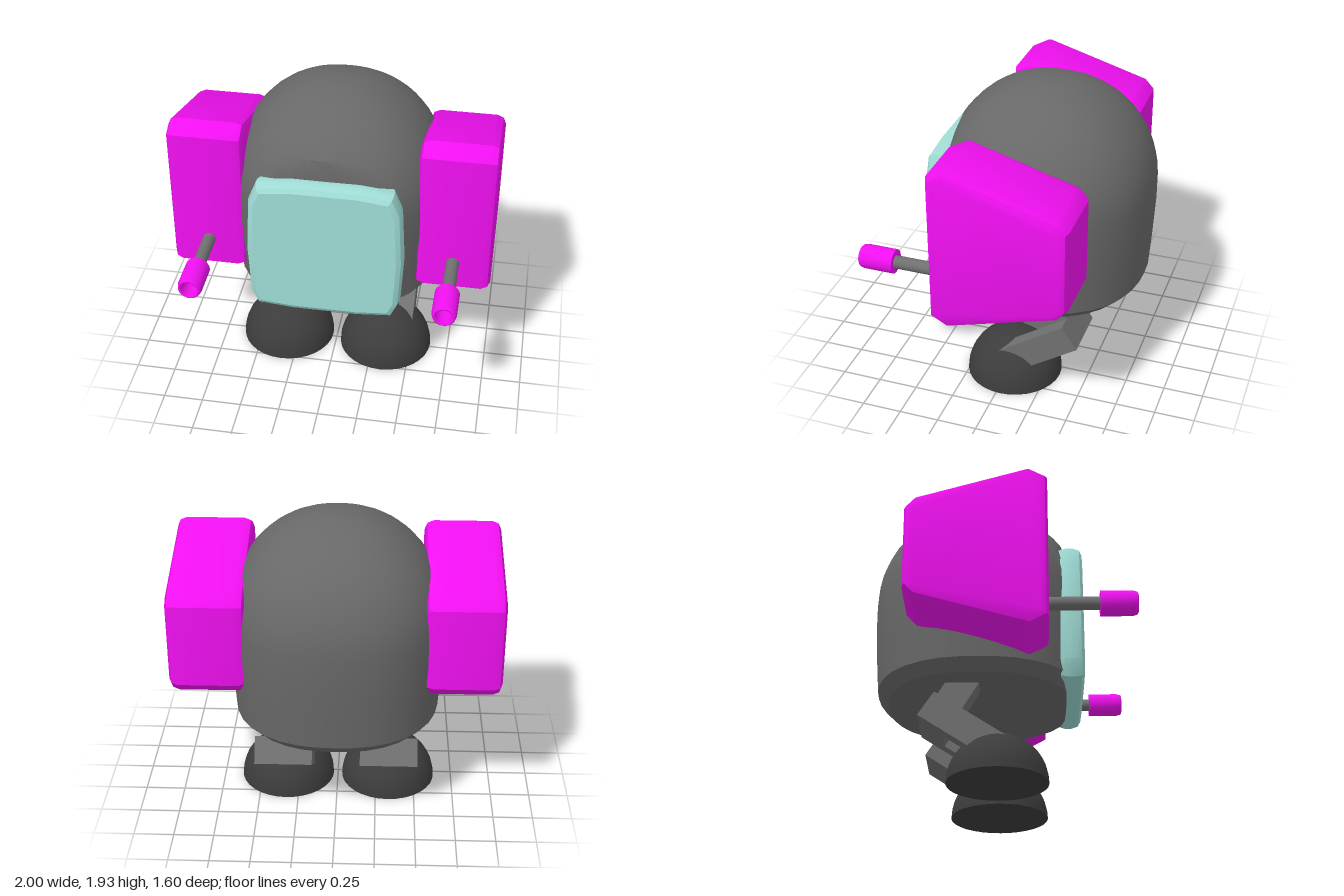
import * as THREE from 'three';
import { toCreasedNormals } from 'three/addons/utils/BufferGeometryUtils.js';

const mat = (color) => new THREE.MeshStandardMaterial({ color });
const shellGrey = mat(0x686868), legGrey = mat(0x707070), footGrey = mat(0x3c3c3c);
const magenta = mat(0xf010f0), teal = mat(0x9fdcd5);

const v2 = (list) => list.map(([x, y]) => new THREE.Vector2(x, y));

function add(parent, name, geometry, material, x = 0, y = 0, z = 0) {
  const mesh = new THREE.Mesh(geometry, material);
  mesh.name = name;
  mesh.position.set(x, y, z);
  parent.add(mesh);
  return mesh;
}

// Extruded outline whose bevel stays inside the outline, centred on its depth
function bevelled(points, depth, size, thickness) {
  const g = new THREE.ExtrudeGeometry(new THREE.Shape(v2(points)), {
    depth: depth - 2 * thickness, bevelSize: size, bevelThickness: thickness,
    bevelOffset: -size, bevelSegments: 2,
  });
  g.translate(0, 0, thickness - depth / 2);
  return g;
}

// Dome on a skirt: slightly squared plan, flattened at the front
function bodyGeometry() {
  const profile = [[0, 0.61], [0.57, 0.61], [0.635, 0.68], [0.65, 0.9], [0.66, 1.1]];
  for (let i = 0; i <= 12; i++) {
    const a = (i / 12) * Math.PI / 2;
    profile.push([i === 12 ? 0 : 0.66 * Math.cos(a), 1.27 + 0.66 * Math.sin(a)]);
  }
  const g = new THREE.LatheGeometry(v2(profile), 36);
  const pos = g.attributes.position;
  const p = 2.3, front = 0.53;
  for (let i = 0; i < pos.count; i++) {
    let x = pos.getX(i), z = pos.getZ(i);
    const r = Math.hypot(x, z);
    if (r < 1e-5) continue;
    const s = r / Math.pow(Math.abs(x) ** p + Math.abs(z) ** p, 1 / p);
    x *= s;
    z *= s;
    if (z > front) z = front + (z - front) * 0.15;
    pos.setXYZ(i, x, pos.getY(i), z);
  }
  return toCreasedNormals(g, 0.5);
}

// Square bar running between two points of the side plane, given as [z, y]
function bar(parent, name, [z0, y0], [z1, y1], x, width) {
  const length = Math.hypot(z1 - z0, y1 - y0);
  const mesh = add(parent, name, new THREE.BoxGeometry(width, 0.175, length), legGrey,
    x, (y0 + y1) / 2, (z0 + z1) / 2);
  mesh.rotation.x = Math.atan2(y0 - y1, z1 - z0);
}

function leg(side) {
  const g = new THREE.Group();
  g.name = side > 0 ? 'leftLeg' : 'rightLeg';
  g.position.x = side * 0.33;
  bar(g, 'thigh', [-0.18, 0.7], [-0.367, 0.39], 0, 0.16);
  bar(g, 'knee', [-0.44, 0.4375], [-0.293, 0.341], 0, 0.36);
  for (const s of [-1, 1]) bar(g, 'shin', [-0.44, 0.4375], [-0.02, 0.162], s * 0.13, 0.1);

  // Half-ball foot with a flat sole
  const dome = [[0, 0]];
  for (let i = 0; i <= 10; i++) {
    const a = (i / 10) * Math.PI / 2;
    dome.push([i === 10 ? 0 : 0.303 * Math.cos(a), 0.303 * Math.sin(a)]);
  }
  add(g, 'foot', toCreasedNormals(new THREE.LatheGeometry(v2(dome), 32), 0.5), footGrey, 0, 0, -0.025);
  return g;
}

function arm(side) {
  const g = new THREE.Group();
  g.name = side > 0 ? 'leftArm' : 'rightArm';

  // Side pod, outline as [-z, y]
  const outline = [
    [-0.28, 0.77], [-0.17, 0.71], [0.5, 0.905], [0.56, 0.97],
    [0.56, 1.49], [0.5, 1.555], [-0.17, 1.75], [-0.28, 1.69],
  ];
  const pod = bevelled(outline, 0.47, 0.05, 0.055);
  pod.rotateY(Math.PI / 2);
  add(g, 'armPod', toCreasedNormals(pod, 0.6), magenta, side * 0.765, 0, 0);

  // Rod and hollow muzzle
  const rod = new THREE.CylinderGeometry(0.04, 0.04, 0.4, 20);
  rod.rotateX(Math.PI / 2);
  add(g, 'barrelRod', rod, legGrey, side * 0.763, 0.95, 0.42);
  const muzzle = new THREE.LatheGeometry(v2([
    [0, 0], [0.075, 0], [0.075, 0.185], [0.068, 0.213], [0.06, 0.22],
    [0.05, 0.215], [0.05, 0.06], [0, 0.06],
  ]), 24);
  muzzle.rotateX(Math.PI / 2);
  add(g, 'muzzle', toCreasedNormals(muzzle, 0.6), magenta, side * 0.76, 0.95, 0.58);
  return g;
}

export function createModel() {
  const model = new THREE.Group();
  model.name = 'walker';
  add(model, 'body', bodyGeometry(), shellGrey, 0, 0, -0.14);

  // Front window, right half mirrored to the left
  const half = [[0.2, 0.62], [0.42, 0.64], [0.465, 0.74], [0.48, 1.05], [0.46, 1.4], [0.41, 1.52], [0.2, 1.545]];
  const mirrored = half.map(([x, y]) => [-x, y]).reverse();
  add(model, 'visor', toCreasedNormals(bevelled([...half, ...mirrored], 0.16, 0.04, 0.06), 0.45),
    teal, 0, 0, 0.42);

  for (const side of [-1, 1]) model.add(arm(side), leg(side));
  return model;
}
